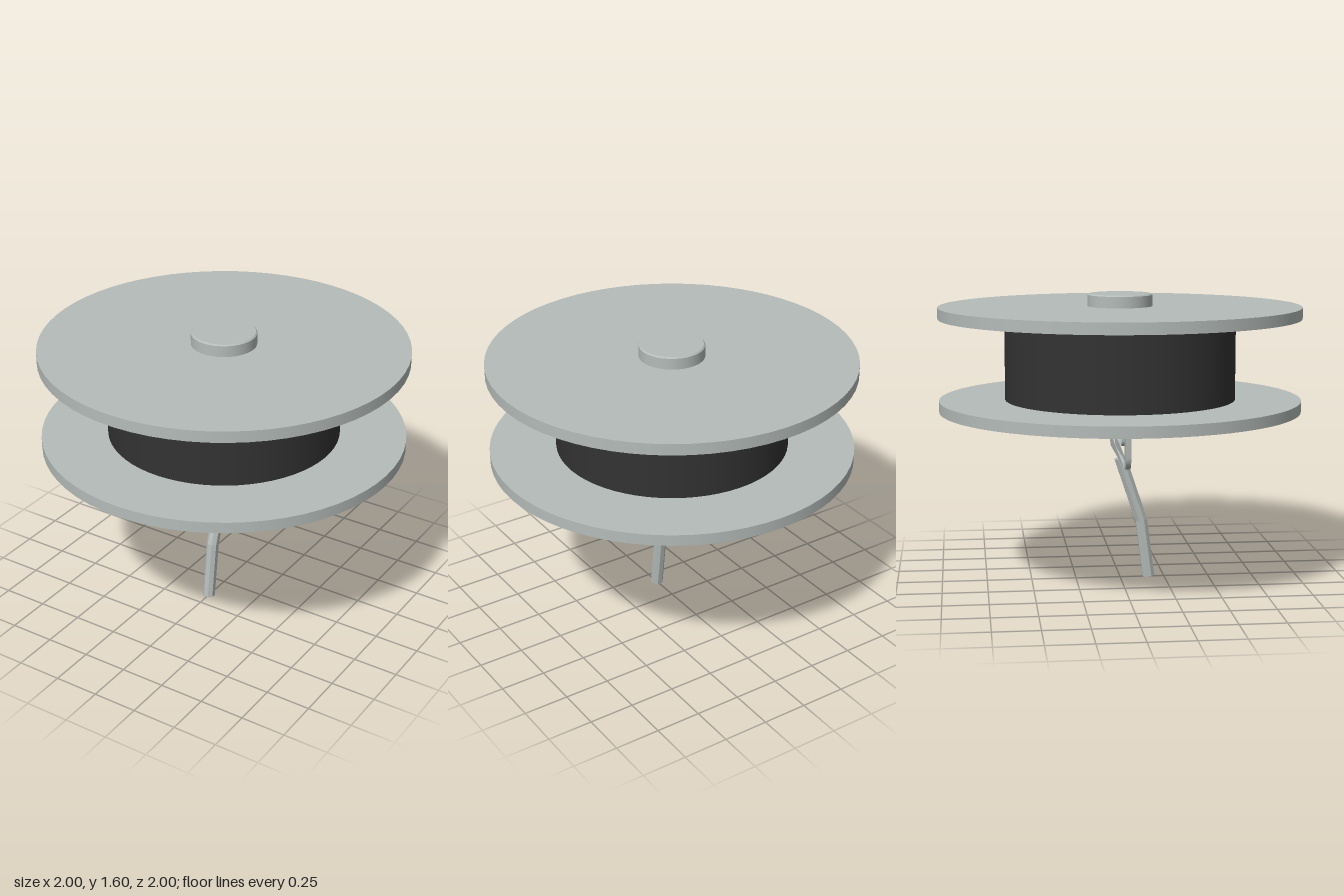
import * as THREE from 'three';
import { toCreasedNormals } from 'three/addons/utils/BufferGeometryUtils.js';

const V = (x, y) => new THREE.Vector2(x, y);

// Ribbon of the given width along z, following a 2D path in x and y
function ribbon(path, width) {
  const pos = [], index = [];
  path.forEach((p, i) => {
    pos.push(p.x, p.y, width / 2, p.x, p.y, -width / 2);
    if (i) {
      const a = 2 * i - 2;
      index.push(a, a + 1, a + 3, a, a + 3, a + 2);
    }
  });
  const g = new THREE.BufferGeometry();
  g.setAttribute('position', new THREE.Float32BufferAttribute(pos, 3));
  g.setIndex(index);
  return toCreasedNormals(g, 0.6);
}

// U-shaped path with rounded lower corners
function uPath(half, bottom, top, r) {
  const pts = [V(-half, top)];
  for (const [cx, start] of [[-half + r, Math.PI], [half - r, 1.5 * Math.PI]])
    for (let i = 0; i <= 5; i++) {
      const a = start + i * Math.PI / 10;
      pts.push(V(cx + r * Math.cos(a), bottom + r + r * Math.sin(a)));
    }
  pts.push(V(half, top));
  return pts;
}

export function createModel() {
  const root = new THREE.Group();
  const metal = new THREE.MeshStandardMaterial({ color: 0xb5bcba });
  metal.name = 'light grey metal';
  const sheet = new THREE.MeshStandardMaterial({ color: 0xb5bcba, side: THREE.DoubleSide });
  sheet.name = 'light grey sheet';
  const dark = new THREE.MeshStandardMaterial({ color: 0x333333 });
  dark.name = 'dark winding';

  const add = (name, geometry, material, parent = root) => {
    const m = new THREE.Mesh(geometry, material);
    m.name = name;
    parent.add(m);
    return m;
  };
  const disc = (name, r, y0, y1, material) => {
    add(name, new THREE.CylinderGeometry(r, r, y1 - y0, 64), material).position.y = (y0 + y1) / 2;
  };

  // Spool
  disc('lowerFlange', 1, 0.963, 1.024, metal);
  disc('upperFlange', 1, 1.474, 1.536, metal);
  disc('winding', 0.637, 1.024, 1.474, dark);

  // Axle with slightly chamfered ends
  const axle = new THREE.LatheGeometry([
    V(0, 0.89), V(0.171, 0.89), V(0.178, 0.897), V(0.178, 1.598), V(0.171, 1.605), V(0, 1.605),
  ], 48);
  add('axle', toCreasedNormals(axle, 0.5), metal);

  // Bracket under the spool: rims, then flat cheeks on both sides
  const bracket = new THREE.Group();
  bracket.name = 'bracket';
  root.add(bracket);
  const W = 0.028, top = 0.965, low = 0.69;
  const outer = uPath(0.44, low, top, 0.075);
  add('outerRim', ribbon(outer, W), sheet, bracket);
  add('innerRim', ribbon(uPath(0.215, 0.785, top, 0.035), W), sheet, bracket);
  add('armEdge', ribbon([V(-0.362, low), V(-0.362, top)], W), sheet, bracket);

  const cheeks = {
    armCheek: [...outer.slice(0, 7), V(-0.362, low), V(-0.362, top)],
    baseCheek: [V(-0.35, low), ...outer.slice(7, 13)],
    tipCheek: [V(0.44, 0.765), V(0.44, top), V(0.424, top)],
  };
  for (const [name, pts] of Object.entries(cheeks))
    for (const side of [1, -1]) {
      const m = add(name, new THREE.ShapeGeometry(new THREE.Shape(pts)), sheet, bracket);
      // Back cheeks are mirrored in z so that they face outwards
      m.scale.z = side;
      m.position.z = side * W / 2;
    }

  // Bent eight-sided handle: each ring is moved to its bend and tilted
  const rings = [
    { y: 0.688, z: 0.0, tilt: 0.32 },
    { y: 0.33, z: 0.12, tilt: 0.22 },
    { y: 0.005, z: 0.162, tilt: 0.13 },
  ];
  const handle = new THREE.CylinderGeometry(0.035, 0.035, 2, 8, 2, false, Math.PI / 8);
  const p = handle.attributes.position;
  for (let i = 0; i < p.count; i++) {
    const ring = rings[Math.round(1 - p.getY(i))];
    const z = p.getZ(i);
    p.setXYZ(i, p.getX(i),
      ring.y + z * Math.sin(ring.tilt),
      ring.z + z * Math.cos(ring.tilt));
  }
  add('handle', toCreasedNormals(handle, 0.1), metal);

  return root;
}
